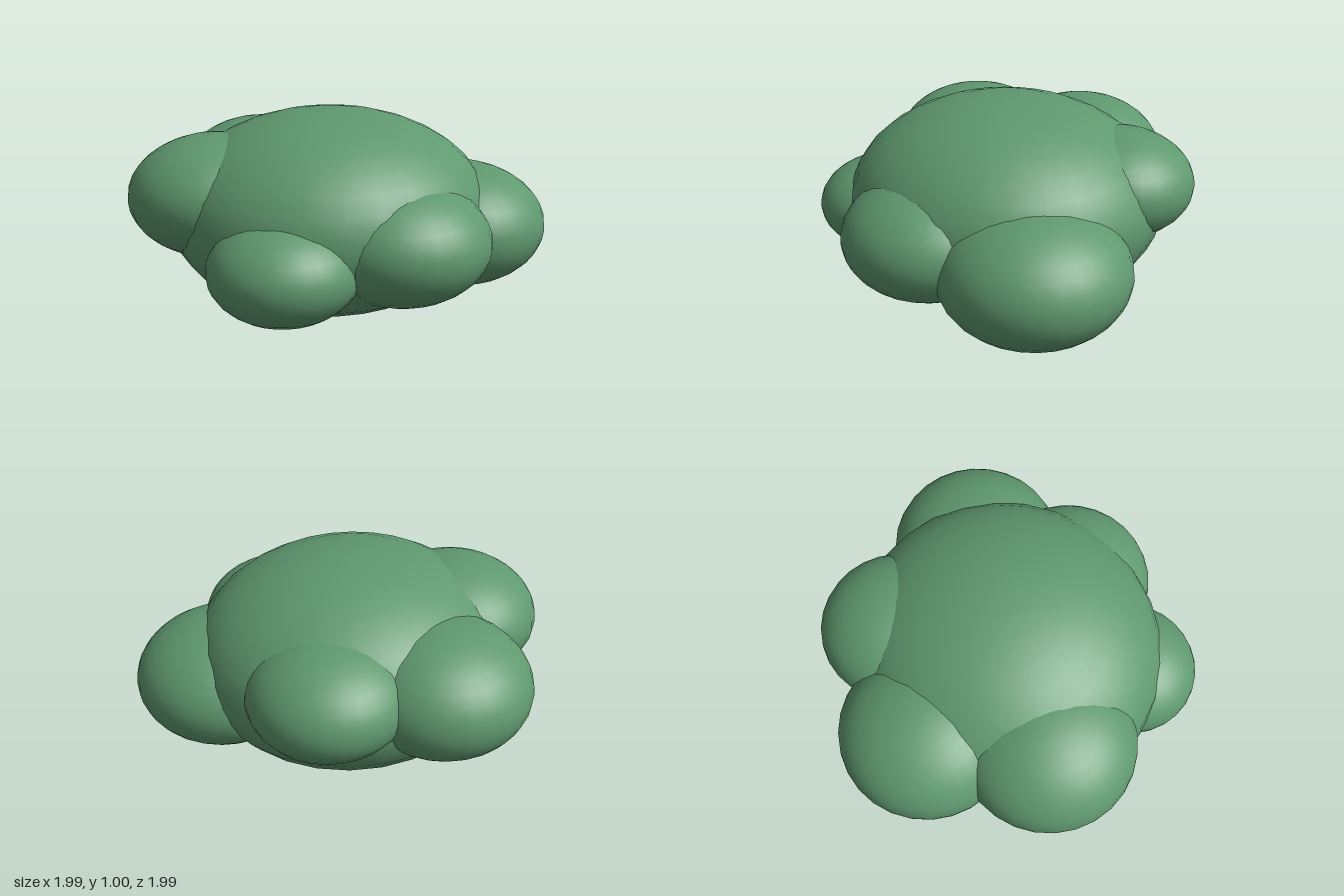
import * as THREE from 'three';

export function createModel() {
  const group = new THREE.Group();
  group.name = 'bush';
  const leafGreen = new THREE.MeshStandardMaterial({ color: 0x5f986f });
  leafGreen.name = 'leaf green';
  const ball = new THREE.SphereGeometry(1, 28, 18);

  // Each clump is a flattened ball: name, centre, horizontal and vertical radius
  function addClump(name, [x, y, z], radius, height, depth = radius) {
    const mesh = new THREE.Mesh(ball, leafGreen);
    mesh.name = name;
    mesh.position.set(x, y, z);
    mesh.scale.set(radius, height, depth);
    group.add(mesh);
  }

  // Large central mass
  addClump('core', [-0.035, 0.505, 0.04], 0.815, 0.5, 0.79);

  // Smaller clumps around the rim
  addClump('frontClump', [0.03, 0.465, 0.56], 0.43, 0.29);
  addClump('frontLeftClump', [0.54, 0.41, 0.355], 0.455, 0.312);
  addClump('backLeftClump', [0.39, 0.61, -0.32], 0.39, 0.265);
  addClump('backClump', [-0.11, 0.565, -0.555], 0.44, 0.305);
  addClump('backRightClump', [-0.555, 0.6, -0.17], 0.44, 0.3);
  addClump('frontRightClump', [-0.53, 0.405, 0.46], 0.35, 0.24);

  return group;
}
